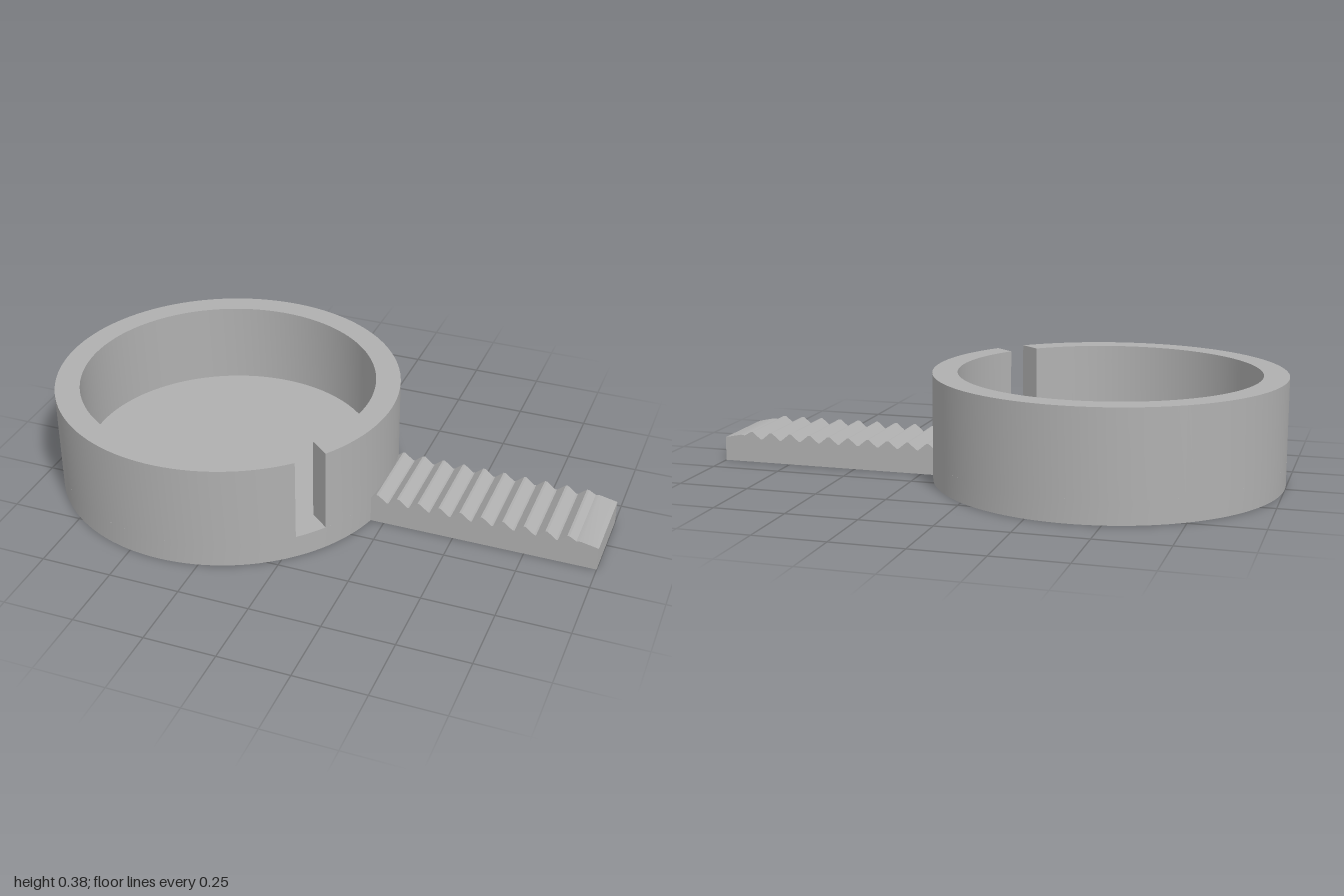
import * as THREE from 'three';
import { toCreasedNormals } from 'three/addons/utils/BufferGeometryUtils.js';

export function createModel() {
  const model = new THREE.Group();
  const grey = new THREE.MeshStandardMaterial({ color: 0xb0b0b0 });
  grey.name = 'grey plastic';

  const add = (name, geometry) => {
    const mesh = new THREE.Mesh(toCreasedNormals(geometry, 0.4), grey);
    mesh.name = name;
    model.add(mesh);
    return mesh;
  };

  const cx = -0.39, outer = 0.61, inner = 0.523;
  const floorTop = 0.08, height = 0.375;

  // Solid floor of the cup
  add('cupFloor', new THREE.CylinderGeometry(outer, outer, floorTop, 120))
    .position.set(cx, floorTop / 2, 0);

  // Ring wall, open at a parallel-sided slot
  const slotAngle = THREE.MathUtils.degToRad(40), halfSlot = 0.057;
  const a = Math.asin(halfSlot / outer), b = Math.asin(halfSlot / inner);
  const ring = new THREE.Shape();
  ring.absarc(0, 0, outer, slotAngle + a, slotAngle + 2 * Math.PI - a, false);
  ring.absarc(0, 0, inner, slotAngle + 2 * Math.PI - b, slotAngle + b, true);
  ring.closePath();
  const wall = new THREE.ExtrudeGeometry(ring, {
    depth: height - floorTop, bevelEnabled: false, curveSegments: 60,
  });
  wall.rotateX(Math.PI / 2); // shape y becomes z, depth runs downwards
  add('slottedWall', wall).position.set(cx, height, 0);

  // Handle with a row of grip ridges, drawn in side profile
  const start = 0.16, low = 0.085, high = 0.11, pitch = 0.0745, halfWidth = 0.146;
  const profile = new THREE.Shape();
  profile.moveTo(start, 0);
  profile.lineTo(1, 0);
  profile.lineTo(1, low);
  profile.lineTo(0.938, 0.098);
  for (let i = 9; i >= 0; i--) {
    const peak = 0.225 + i * pitch;
    if (i < 9) profile.lineTo(peak + 0.034, low);
    else profile.lineTo(peak + 0.028, 0.096);
    profile.lineTo(peak + 0.004, high);
    profile.lineTo(peak - 0.004, high);
    profile.lineTo(peak - 0.034, low);
  }
  profile.lineTo(start, low);
  profile.closePath();
  const handle = new THREE.ExtrudeGeometry(profile, {
    depth: halfWidth * 2, bevelEnabled: false,
  });
  add('ridgedHandle', handle).position.z = -halfWidth;

  return model;
}
